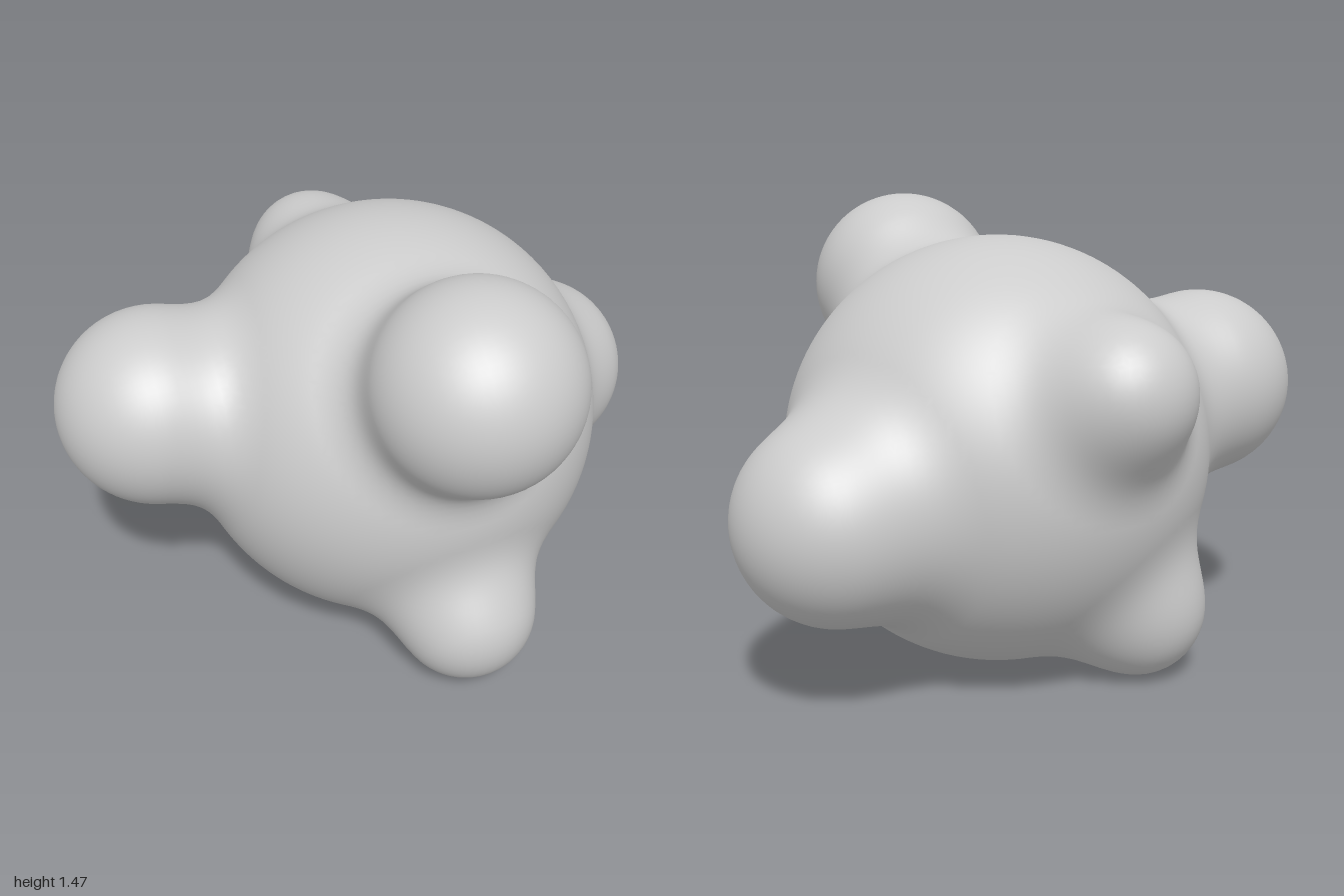
import * as THREE from 'three';

// Core ball and the knobs that melt into it: x, y, z, radius
const CORE = [0.06, 0.69, -0.05, 0.672];
const KNOBS = [
  [0.07, 1.165, 0.575, 0.31],   // upper front
  [-0.69, 0.85, -0.11, 0.31],   // right side
  [0.69, 0.58, -0.23, 0.31],    // left side
  [0.105, 0.25, 0.5, 0.225],    // lower front
  [-0.23, 0.22, -0.41, 0.22],   // lower back
  [0.02, 0.95, -0.67, 0.215],   // back
];
const BLEND = 0.16;
const CELL = 0.03;
const MIN = [-1.1, -0.1, -1.0];
const SIZE = [74, 56, 67];

const ball = (p, [x, y, z, r]) => Math.hypot(p[0] - x, p[1] - y, p[2] - z) - r;

// Signed distance to the blended body
function distance(p) {
  let d = ball(p, CORE);
  for (const knob of KNOBS) {
    const e = ball(p, knob);
    const h = Math.max(BLEND - Math.abs(d - e), 0);
    d = Math.min(d, e) - (h * h) / (4 * BLEND);
  }
  return d;
}

function gradient(p) {
  const e = 0.001;
  return [0, 1, 2].map((a) => {
    const hi = [...p], lo = [...p];
    hi[a] += e;
    lo[a] -= e;
    return (distance(hi) - distance(lo)) / (2 * e);
  });
}

// Turn the distance field into a smooth closed surface, one vertex per crossed cell
function blendedGeometry() {
  const step = [1, SIZE[0], SIZE[0] * SIZE[1]];
  const count = step[2] * SIZE[2];
  const at = (n) => [n % SIZE[0], Math.floor(n / step[1]) % SIZE[1], Math.floor(n / step[2])];
  const point = (n, o = 0) => at(n).map((c, a) => MIN[a] + (c + o) * CELL);
  const field = new Float32Array(count);
  for (let n = 0; n < count; n++) field[n] = distance(point(n));

  const vertex = new Map();
  const positions = [], normals = [], index = [];

  // Cell vertex, pulled from the cell centre onto the surface
  function cellVertex(n) {
    if (!vertex.has(n)) {
      const p = point(n, 0.5);
      for (let k = 0; k < 4; k++) {
        const g = gradient(p);
        const s = distance(p) / (g[0] ** 2 + g[1] ** 2 + g[2] ** 2);
        for (let a = 0; a < 3; a++) p[a] -= g[a] * s;
      }
      const normal = new THREE.Vector3(...gradient(p)).normalize();
      vertex.set(n, positions.length / 3);
      positions.push(...p);
      normals.push(normal.x, normal.y, normal.z);
    }
    return vertex.get(n);
  }

  // One quad around every grid edge that crosses the surface
  for (let n = 0; n < count; n++) {
    const c = at(n);
    if (c.some((v, a) => v < 1 || v > SIZE[a] - 2)) continue;
    for (let a = 0; a < 3; a++) {
      const inside = field[n] < 0;
      if (inside === field[n + step[a]] < 0) continue;
      const b = step[(a + 1) % 3], d = step[(a + 2) % 3];
      const q = [n - b - d, n - d, n, n - b].map(cellVertex);
      if (!inside) q.reverse();
      index.push(q[0], q[1], q[2], q[0], q[2], q[3]);
    }
  }

  const geometry = new THREE.BufferGeometry();
  geometry.setAttribute('position', new THREE.Float32BufferAttribute(positions, 3));
  geometry.setAttribute('normal', new THREE.Float32BufferAttribute(normals, 3));
  geometry.setIndex(index);
  return geometry;
}

export function createModel() {
  const group = new THREE.Group();
  group.name = 'knobbedBlob';
  const body = new THREE.Mesh(
    blendedGeometry(),
    new THREE.MeshStandardMaterial({ color: 0xcccccc })
  );
  body.name = 'blendedBody';
  group.add(body);
  return group;
}
